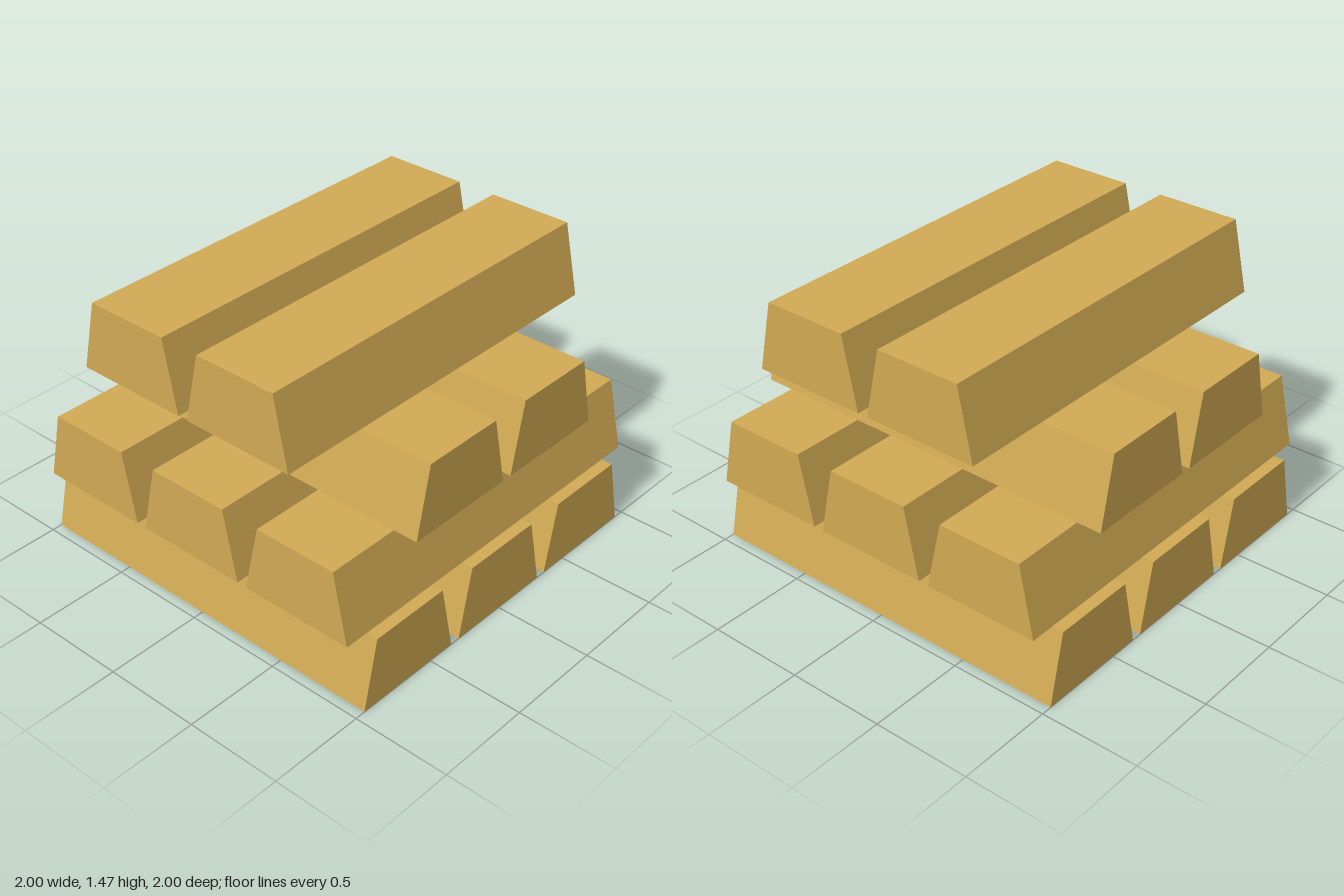
import * as THREE from 'three';

const LENGTH = 2, BASE = 0.595, TOP = 0.438, HEIGHT = 0.361;
const PITCH = 0.648;        // spacing of bars within a layer
const LAYER_STEP = 0.3685;  // spacing of layers, leaving a thin gap

// Trapezoidal bar lying along z, standing on y = 0
function barGeometry() {
  const section = new THREE.Shape([
    new THREE.Vector2(-BASE / 2, 0),
    new THREE.Vector2(BASE / 2, 0),
    new THREE.Vector2(TOP / 2, HEIGHT),
    new THREE.Vector2(-TOP / 2, HEIGHT),
  ]);
  return new THREE.ExtrudeGeometry(section, { depth: LENGTH, bevelEnabled: false })
    .translate(0, 0, -LENGTH / 2);
}

export function createModel() {
  const model = new THREE.Group();
  model.name = 'barStack';
  const geometry = barGeometry();
  const gold = new THREE.MeshStandardMaterial({ color: 0xd1aa54 });

  // Layers from the bottom up, each turned a quarter from the one below
  [3, 3, 2, 2].forEach((count, level) => {
    const layer = new THREE.Group();
    layer.name = `layer${level + 1}`;
    layer.position.y = level * LAYER_STEP;
    layer.rotation.y = level % 2 === 0 ? Math.PI / 2 : 0;
    for (let i = 0; i < count; i++) {
      const bar = new THREE.Mesh(geometry, gold);
      bar.name = `goldBar${i + 1}`;
      bar.position.x = (i - (count - 1) / 2) * PITCH;
      layer.add(bar);
    }
    model.add(layer);
  });
  return model;
}
